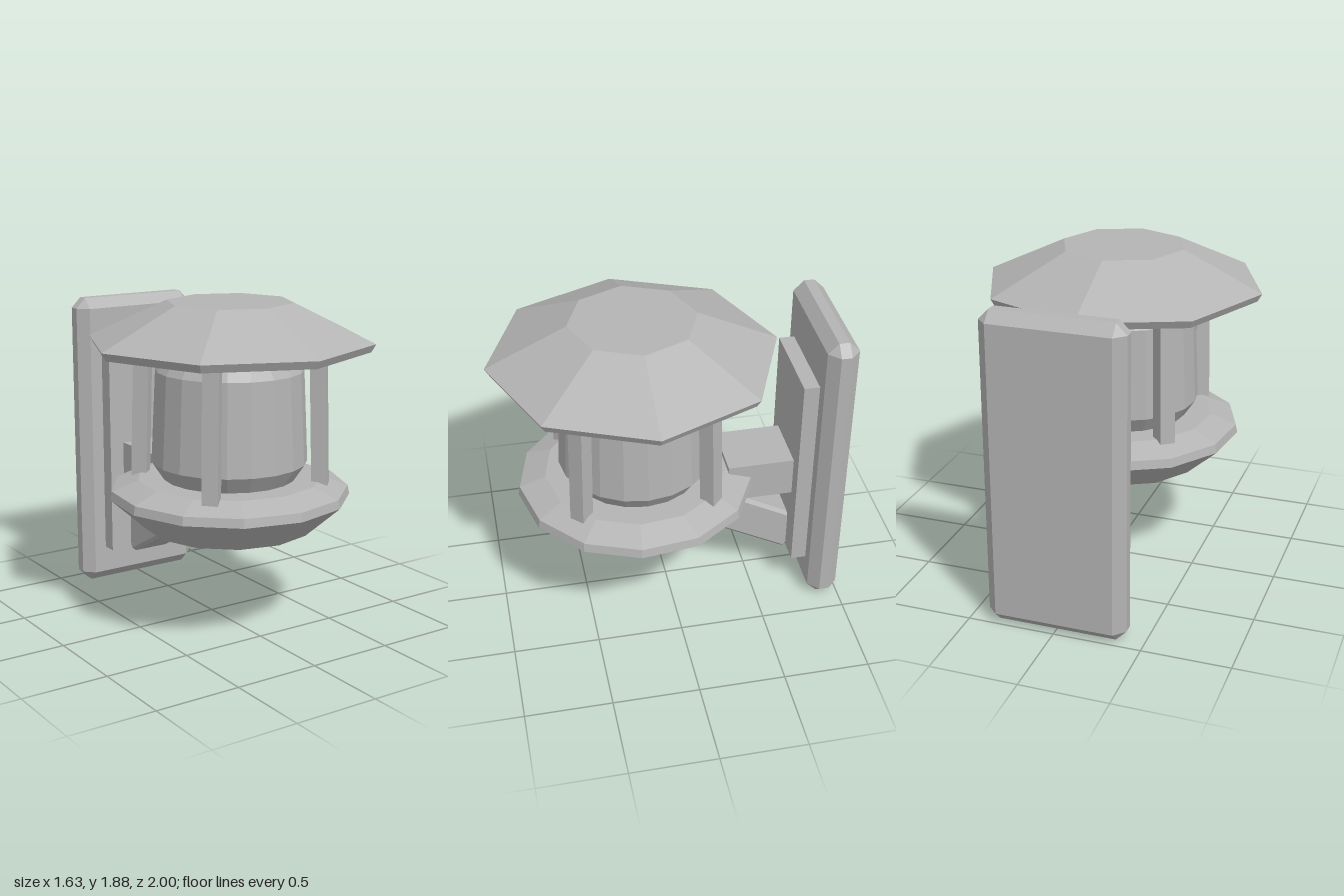
import * as THREE from 'three';
import { ConvexGeometry } from 'three/addons/geometries/ConvexGeometry.js';

// Box with every edge cut by a flat chamfer
function chamferBox(w, h, d, c) {
  const points = [];
  for (const x of [-1, 1]) for (const y of [-1, 1]) for (const z of [-1, 1]) {
    for (const [a, b, e] of [[0, c, c], [c, 0, c], [c, c, 0]]) {
      points.push(new THREE.Vector3(x * (w / 2 - a), y * (h / 2 - b), z * (d / 2 - e)));
    }
  }
  return new ConvexGeometry(points);
}

// Faceted solid of revolution; profile runs from the bottom up as [radius, y]
const turned = (profile, sides) =>
  new THREE.LatheGeometry(profile.map(([r, y]) => new THREE.Vector2(r, y)), sides);

export function createModel() {
  const model = new THREE.Group();
  model.name = 'wallLantern';
  const grey = new THREE.MeshStandardMaterial({ color: 0xb4b4b4, flatShading: true });
  grey.name = 'grey';

  const add = (parent, name, geometry, x = 0, y = 0, z = 0) => {
    const mesh = new THREE.Mesh(geometry, grey);
    mesh.name = name;
    mesh.position.set(x, y, z);
    parent.add(mesh);
    return mesh;
  };

  // Wall mount
  add(model, 'wallPlate', chamferBox(0.8, 1.805, 0.18, 0.06), 0, 0.9025, -0.91);
  add(model, 'mountPanel', new THREE.BoxGeometry(0.53, 1.26, 0.12), 0, 0.85, -0.79);
  add(model, 'arm', new THREE.BoxGeometry(0.35, 0.24, 0.42), 0, 0.79, -0.55);
  const brace = add(model, 'brace', chamferBox(0.26, 0.25, 0.83, 0.02), 0, 0.5, -0.42);
  brace.rotation.x = -0.505;

  // Lantern head, in front of the wall mount
  const lantern = new THREE.Group();
  lantern.name = 'lantern';
  lantern.position.z = 0.18;
  model.add(lantern);

  add(lantern, 'dish', turned([
    [0, 0.572], [0.485, 0.59], [0.69, 0.775], [0.68, 0.825], [0.53, 0.88], [0, 0.88],
  ], 13));
  add(lantern, 'glass', turned([
    [0, 0.87], [0.375, 0.87], [0.445, 0.975], [0.42, 1.5], [0.36, 1.6], [0.28, 1.64],
  ], 20));
  add(lantern, 'roof', turned([
    [0, 1.62], [0.79, 1.62], [0.815, 1.665], [0.36, 1.88], [0, 1.88],
  ], 8));

  // Four posts on the diagonals, leaning slightly inwards at the top
  for (let i = 0; i < 4; i++) {
    const corner = new THREE.Group();
    corner.name = 'post' + (i + 1);
    corner.rotation.y = Math.PI / 4 + i * Math.PI / 2;
    lantern.add(corner);
    const post = add(corner, 'postBar', new THREE.BoxGeometry(0.09, 0.8, 0.09), 0, 1.245, 0.512);
    post.rotation.x = -0.03;
  }
  return model;
}
